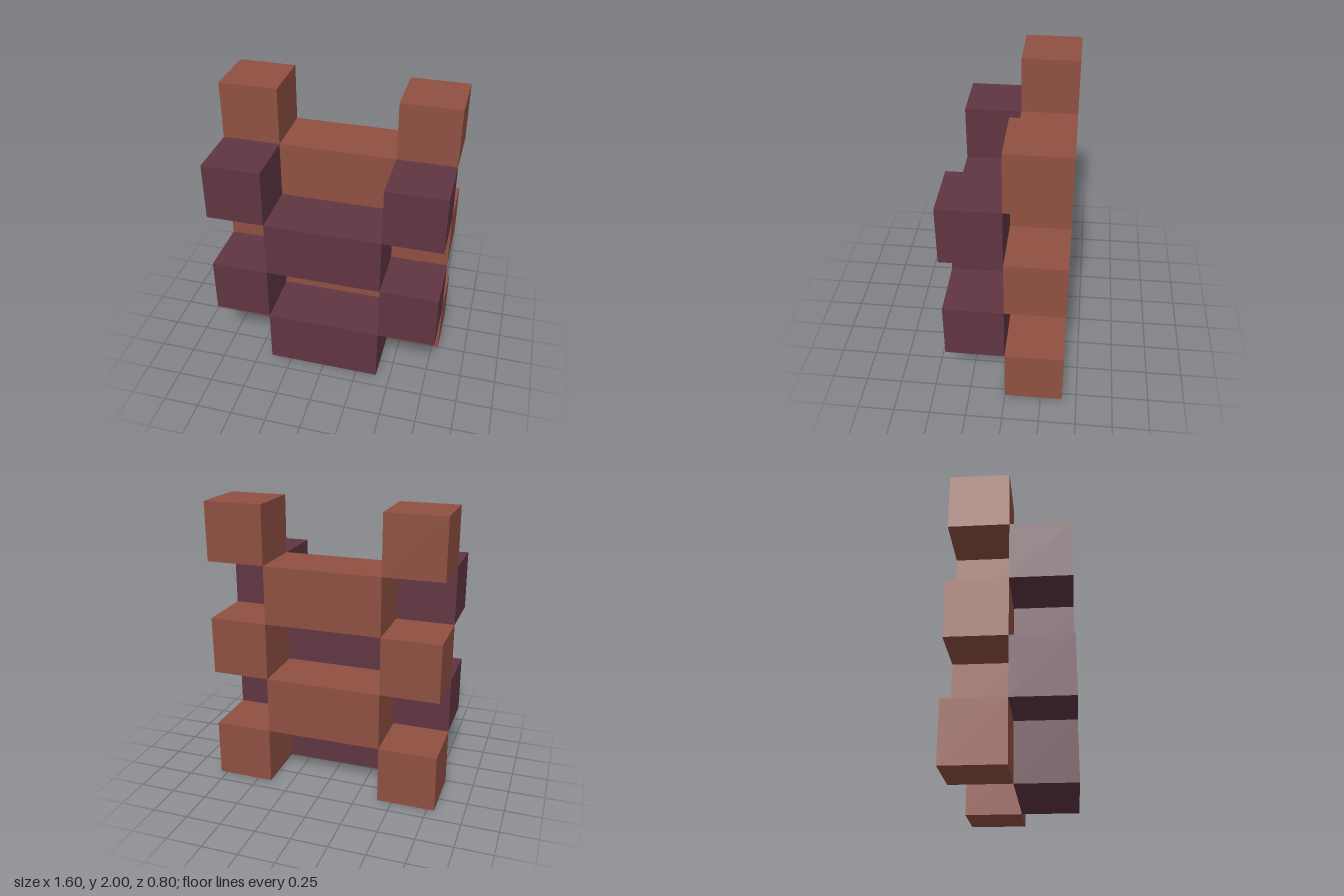
import * as THREE from 'three';

const UNIT = 0.4; // edge of one cube

export function createModel() {
  const model = new THREE.Group();
  model.name = 'interlockingBlocks';

  const brown = new THREE.MeshStandardMaterial({ color: 0x8f5041 });
  brown.name = 'brown';
  const plum = new THREE.MeshStandardMaterial({ color: 0x603542 });
  plum.name = 'plum';

  const cube = new THREE.BoxGeometry(UNIT, UNIT, UNIT);
  const bar = new THREE.BoxGeometry(UNIT * 2, UNIT, UNIT);

  function addBlock(name, geometry, material, x, row) {
    const mesh = new THREE.Mesh(geometry, material);
    mesh.name = name;
    // plum blocks form the front layer, brown blocks the back layer
    const z = material === plum ? UNIT / 2 : -UNIT / 2;
    mesh.position.set(x, (row + 0.5) * UNIT, z);
    model.add(mesh);
  }

  // Rows alternate: side cubes in one layer, the middle bar in the other
  for (let row = 0; row < 5; row++) {
    const even = row % 2 === 0;
    const sideMaterial = even ? brown : plum;
    const barMaterial = even ? plum : brown;
    addBlock('leftCube' + row, cube, sideMaterial, UNIT * 1.5, row);
    addBlock('rightCube' + row, cube, sideMaterial, -UNIT * 1.5, row);
    // the top row has cubes only
    if (row < 4) addBlock('middleBar' + row, bar, barMaterial, 0, row);
  }

  return model;
}
